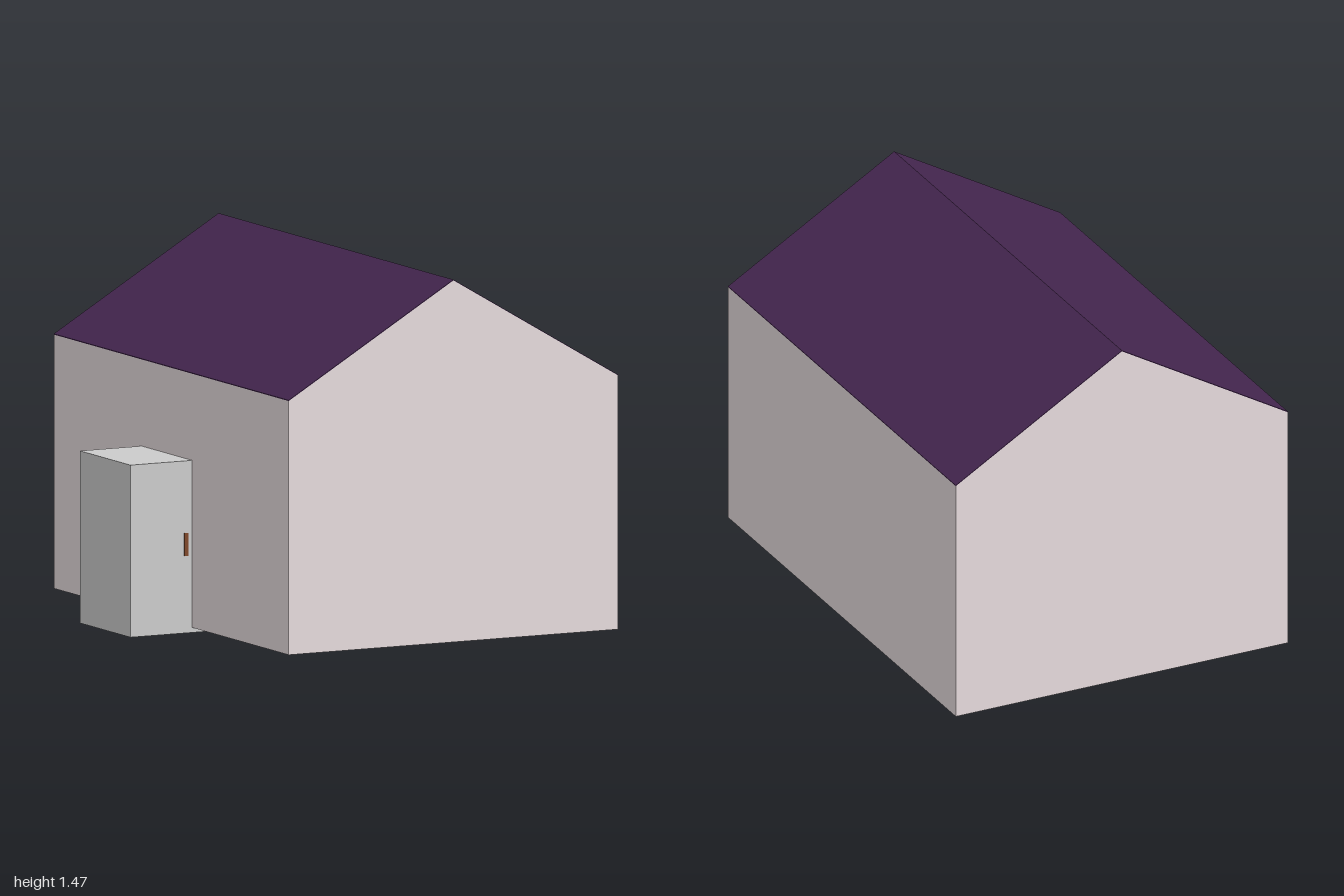
import * as THREE from 'three';

const mat = (color) => new THREE.MeshStandardMaterial({ color, flatShading: true });

export function createModel() {
  const house = new THREE.Group();
  house.name = 'house';
  const wallMat = mat(0xe5dadc), roofMat = mat(0x44264f);
  const woodMat = mat(0x7e4628), greyMat = mat(0xcccccc);

  // main dimensions
  const x0 = -0.6, x1 = 0.87, xm = (x0 + x1) / 2;
  const base = 0.02, eave = 1.037, ridge = 1.468;
  const t = 0.02, skin = 0.003;

  const add = (name, geometry, material) => {
    const mesh = new THREE.Mesh(geometry, material);
    mesh.name = name;
    house.add(mesh);
    return mesh;
  };
  // box given by its extents
  const box = (name, material, [ax, bx], [ay, by], [az, bz]) =>
    add(name, new THREE.BoxGeometry(bx - ax, by - ay, bz - az), material)
      .position.set((ax + bx) / 2, (ay + by) / 2, (az + bz) / 2);
  // outline in x and y, extruded along z
  const prism = (name, material, points, az, bz) => {
    const shape = new THREE.Shape(points.map(([x, y]) => new THREE.Vector2(x, y)));
    const geometry = new THREE.ExtrudeGeometry(shape, { depth: bz - az, bevelEnabled: false });
    add(name, geometry.translate(0, 0, az), material);
  };

  // gable end walls
  const gable = [[x0, base], [x1, base], [x1, eave - skin], [xm, ridge - skin], [x0, eave - skin]];
  prism('frontWall', wallMat, gable, 1 - t, 1);
  prism('backWall', wallMat, gable, -1, -1 + t);

  // long side walls
  box('rightWall', wallMat, [x0, x0 + t], [base, eave - skin], [-1 + t, 1 - t]);
  box('leftWall', wallMat, [x1 - t, x1], [base, eave - skin], [-1 + t, 1 - t]);

  // thin roof slopes meeting at the ridge
  for (const [name, x] of [['rightRoof', x0], ['leftRoof', x1]]) {
    prism(name, roofMat, [[x, eave], [x, eave - skin], [xm, ridge - skin], [xm, ridge]], -1, 1);
  }

  // floor set between the walls
  box('floor', woodMat, [x0 + t, x1 - t], [base + 0.004, base + 0.024], [-1 + t, 1 - t]);

  // entrance block through the right wall, with its handle
  box('entranceBlock', greyMat, [-0.875, -0.245], [0, 0.688], [-0.253, 0.178]);
  box('handle', woodMat, [-0.637, -0.619], [0.308, 0.4], [0.172, 0.183]);

  return house;
}
